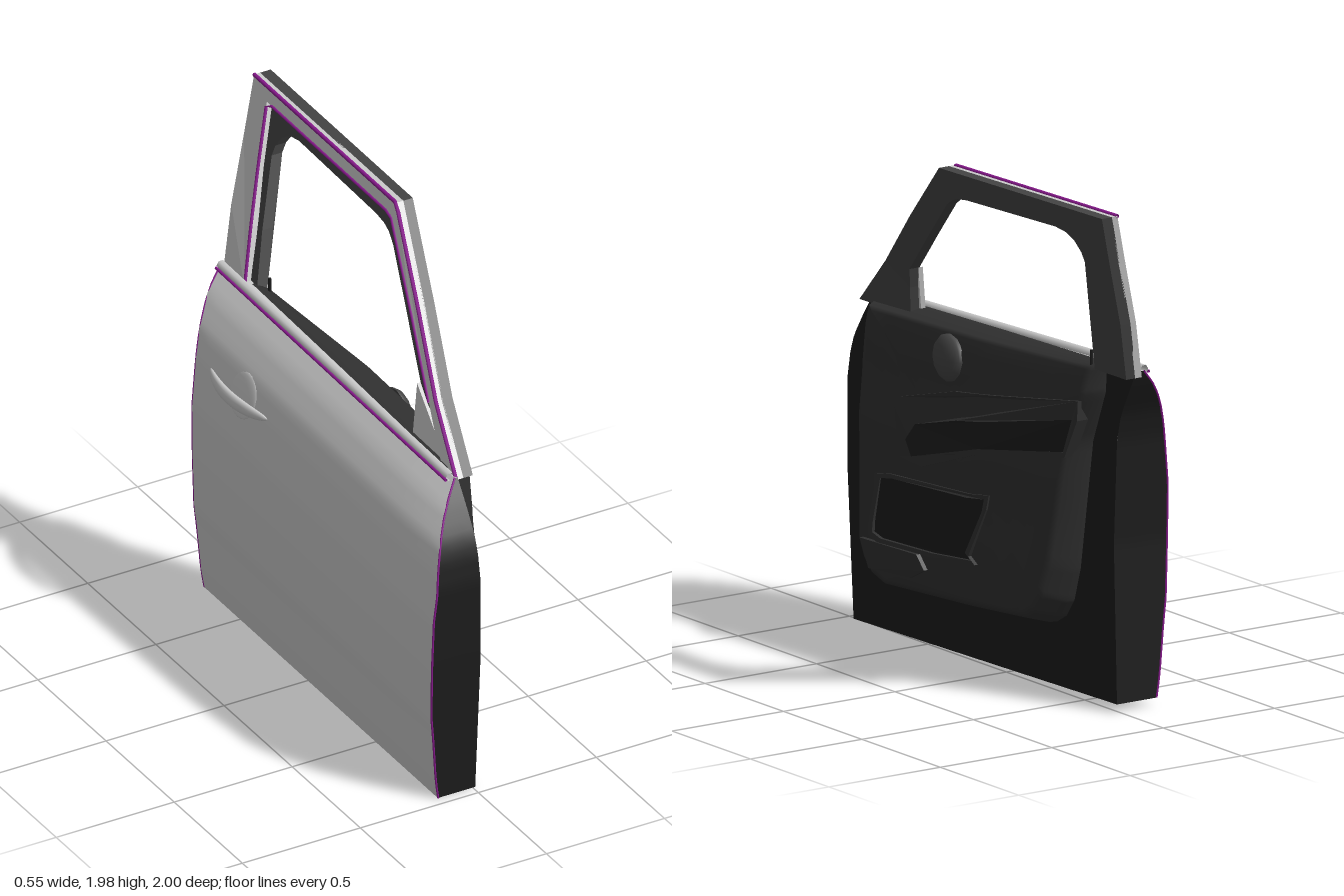
import * as THREE from 'three';

const material = (color) => new THREE.MeshStandardMaterial({ color, side: THREE.DoubleSide });

// Piecewise linear lookup in [[t, value], ...]
function lookup(table, t) {
  if (t <= table[0][0]) return table[0][1];
  for (let i = 1; i < table.length; i++) {
    const [a, va] = table[i - 1], [b, vb] = table[i];
    if (t <= b) return va + (vb - va) * (t - a) / (b - a);
  }
  return table[table.length - 1][1];
}

// Surface from a rule p(u, v) -> [x, y, z]
function surface(nu, nv, p) {
  const pos = [], idx = [];
  for (let j = 0; j <= nv; j++) for (let i = 0; i <= nu; i++) pos.push(...p(i / nu, j / nv));
  for (let j = 0; j < nv; j++) for (let i = 0; i < nu; i++) {
    const a = j * (nu + 1) + i, b = a + 1, c = a + nu + 1, d = c + 1;
    idx.push(a, b, d, a, d, c);
  }
  const g = new THREE.BufferGeometry();
  g.setAttribute('position', new THREE.Float32BufferAttribute(pos, 3));
  g.setIndex(idx);
  g.computeVertexNormals();
  return g;
}

// Plate outlined in (z, y), thick along x, then pushed along x by rule shift(y, z)
function plate(points, depth, shift, hole) {
  const flip = (list) => list.map(([z, y]) => new THREE.Vector2(-z, y));
  const shape = new THREE.Shape(flip(points));
  if (hole) shape.holes.push(new THREE.Path(flip(hole)));
  const g = new THREE.ExtrudeGeometry(shape, { depth, bevelEnabled: false });
  g.rotateY(Math.PI / 2);
  const p = g.attributes.position;
  for (let i = 0; i < p.count; i++) p.setX(i, p.getX(i) + shift(p.getY(i), p.getZ(i)));
  g.computeVertexNormals();
  return g;
}

const tube = (points, r) => {
  const path = new THREE.CurvePath();
  const v = points.map((p) => new THREE.Vector3(...p));
  for (let i = 1; i < v.length; i++) path.add(new THREE.LineCurve3(v[i - 1], v[i]));
  return new THREE.TubeGeometry(path, 48, r, 6);
};

// Lower door outline and outer curvature, by height
const FRONT = [[0, .96], [.3, .98], [.6, 1], [.92, 1], [1.03, .98], [1.1, .955], [1.2, .89], [1.28, .83]];
const REAR = [[0, -.72], [.3, -.71], [.6, -.7], [.8, -.71], [1, -.72], [1.1, -.745], [1.24, -.82], [1.28, -.835]];
const BULGE = [[0, -.16], [.08, -.175], [.3, -.2], [.36, -.21], [.6, -.222], [.8, -.218], [1, -.195],
  [1.1, -.165], [1.2, -.1], [1.26, -.04], [1.28, -.02]];
const INNER = .01;

function bodyPoint(u, v, t) { // t: 0 = outer skin, 1 = inner panel
  const h = v * 1.28;
  const z = THREE.MathUtils.lerp(lookup(FRONT, h), lookup(REAR, h), u);
  const y0 = .018 - z * .018, y1 = 1.288 - z * .032;
  const turn = Math.max(0, (z - .6) / .4) ** 2 * .025 * v;
  const outer = Math.min(INNER, lookup(BULGE, h) + .012 * z + turn);
  return [THREE.MathUtils.lerp(outer, INNER, t), y0 + (y1 - y0) * v, z];
}

// Trim thickness by height, thinner towards the rear
const TRIM = [[.2, .16], [.27, .175], [.4, .178], [.5, .172], [.7, .16], [.85, .155], [1, .14], [1.2, .13], [1.32, .1]];
const trimX = (y, z) => lookup(TRIM, y) - .05 * Math.max(0, -z) / .6;

// Window frame lean
const LEAN = [[1.22, -.025], [1.31, -.015], [1.5, .045], [1.72, .125], [1.97, .215]];
const frameX = (y, z) => lookup(LEAN, y) + .02 * (z + .5);

export function createModel() {
  const door = new THREE.Group();
  door.name = 'carDoor';
  const paint = material(0xcccccc), dark = material(0x1c1c1c), trim = material(0x303030);
  const lining = material(0x444444), seal = material(0x8a1a8f);
  const add = (name, geometry, mat) => {
    const m = new THREE.Mesh(geometry, mat);
    m.name = name;
    door.add(m);
    return m;
  };

  // Door shell
  add('outerSkin', surface(24, 48, (u, v) => bodyPoint(u, v, 0)), paint);
  add('innerPanel', surface(12, 32, (u, v) => bodyPoint(1 - u, v, 1)), dark);
  add('frontJamb', surface(3, 40, (u, v) => bodyPoint(0, v, 1 - u)), dark);
  add('rearJamb', surface(3, 40, (u, v) => bodyPoint(1, v, u)), dark);
  add('doorBottom', surface(12, 2, (u, v) => bodyPoint(u, 0, 1 - v)), dark);
  add('doorTop', surface(12, 2, (u, v) => bodyPoint(u, 1, v)), paint);

  // Belt moulding and edge seals
  add('beltMoulding', tube([[-.015, 1.265, .82], [-.035, 1.318, -.83]], .018), paint);
  add('beltSeal', tube([[-.033, 1.255, .82], [-.055, 1.308, -.83]], .006), seal);
  for (const [name, u] of [['frontEdgeSeal', 0], ['rearEdgeSeal', 1]]) {
    const pts = Array.from({ length: 25 }, (_, i) => bodyPoint(u, i / 24, .01));
    add(name, tube(pts, .004), seal);
  }

  // Window frame: painted outside, dark lining inside with rounded corners
  const frameOuter = [[.83, 1.25], [.6, 1.45], [.33, 1.69], [.02, 1.95], [-1, 1.97], [-.95, 1.77], [-.89, 1.52], [-.83, 1.29]];
  const skinOpening = [[-.68, 1.29], [-.74, 1.5], [-.81, 1.7], [-.88, 1.92], [.01, 1.9], [.31, 1.65], [.56, 1.43], [.73, 1.25]];
  const liningOpening = [[-.635, 1.29], [-.7, 1.5], [-.785, 1.75], [-.782, 1.79], [-.76, 1.83], [-.72, 1.856], [-.66, 1.865],
    [-.1, 1.846], [-.04, 1.838], [0, 1.825], [.05, 1.795], [.25, 1.625], [.45, 1.45], [.48, 1.37], [.515, 1.25]];
  add('frameSkin', plate([...frameOuter, ...skinOpening], .03, frameX), paint);
  const liningX = (y, z) => frameX(y, z) + .025;
  add('frameLining', plate([...frameOuter, ...liningOpening], .045, liningX), lining);
  const edge = frameOuter.slice(0, 5).map(([z, y]) => [frameX(y, z), y, z]);
  add('frameSeal', tube(edge, .008), seal);
  add('windowSeal', tube(skinOpening.slice(0, 7).map(([z, y]) => [frameX(y, z), y, z]), .006), seal);
  // Mirror mounting panel in the front corner
  add('mirrorPanel', plate([[.76, 1.255], [.5, 1.26], [.45, 1.45]], .02, (y, z) => frameX(y, z) + .01), paint);

  // Door trim: rings shrinking from the outline to a domed face
  const outline = [[.76, 1.27], [.775, 1.05], [.775, .85], [.755, .55], [.74, .36], [.71, .29], [.66, .24], [.58, .21],
    [.1, .24], [-.34, .265], [-.4, .3], [-.45, .37], [-.49, .5], [-.53, .75], [-.57, 1], [-.65, 1.2], [-.66, 1.312], [0, 1.295]];
  const RINGS = [[1, 0], [.995, .3], [.945, .92], [.9, 1], [.75, 1], [.6, 1], [.45, 1], [.3, 1], [.15, 1], [0, 1]];
  add('trimPanel', surface(outline.length * 6, RINGS.length - 1, (u, v) => {
    const s = u * outline.length, i = Math.floor(s) % outline.length, f = s - Math.floor(s);
    const a = outline[i], b = outline[(i + 1) % outline.length];
    const [k, lift] = RINGS[Math.round(v * (RINGS.length - 1))];
    const z = .08 + (a[0] + (b[0] - a[0]) * f - .08) * k;
    let y = .8 + (a[1] + (b[1] - a[1]) * f - .8) * k;
    if (y > .8) y = .8 + (y - .8) * (1 + (1 - k) * .5 * k); // keeps the top edge full
    return [lift * trimX(y, z), y, z];
  }), trim);

  // Armrest surround, armrest and map pocket
  const surround = [[.49, .93], [.46, .97], [.12, 1.06], [-.1, 1.09], [-.59, 1.165], [-.59, 1.09], [-.53, .94], [-.05, .86], [.3, .74], [.45, .75]];
  const grip = [[.38, .83], [.35, .89], [.1, .955], [-.05, .98], [-.56, 1.09], [-.52, .96], [-.05, .88], [.32, .78]];
  add('armrestSurround', plate(surround, .05, (y, z) => trimX(y, z) - .038, grip), trim);
  add('armrest', plate(grip, .06, (y, z) => trimX(y, z) - .05 + .3 * Math.max(0, .9 - y)), dark);
  const pocket = [[.585, .655], [.5, .67], [0, .7], [-.11, .715], [-.1, .66], [-.02, .47], [-.06, .445], [.2, .42], [.55, .405], [.61, .42], [.61, .47]];
  const opening = pocket.map(([z, y]) => [.26 + (z - .26) * .93, .55 + (y - .55) * .88]);
  add('pocketRim', plate(pocket, .04, (y, z) => trimX(y, z) - .033 + .04 * Math.max(0, .65 - y), opening), trim);
  add('pocketPanel', plate(opening, .03, (y, z) => trimX(y, z) - .027), dark);
  add('pocketLip', plate([[.66, .4], [.3, .41], [.25, .36], [.35, .31], [.62, .29]], .03,
    (y, z) => trimX(y, z) - .025 + .015 * Math.max(0, 1 - Math.abs(y - .38) * 9)), trim);

  // Speaker
  const speaker = add('speaker', new THREE.SphereGeometry(.093, 12, 8, 0, Math.PI * 2, 0, Math.PI / 2), lining);
  speaker.geometry.scale(1, .5, 1).rotateZ(-Math.PI / 2);
  speaker.position.set(.122, 1.17, .185);

  // Lock pin
  const pin = add('lockPin', new THREE.CylinderGeometry(.006, .006, .07, 8), dark);
  pin.position.set(.04, 1.32, -.6);

  // Outside handle with its finger bowl
  const bowl = add('handleBowl', new THREE.SphereGeometry(.09, 24, 12), paint);
  bowl.scale.set(.12, 1, 1);
  bowl.rotation.z = -.28;
  bowl.position.set(-.192, 1.035, -.39);
  const handle = add('handle', surface(16, 32, (u, v) => {
    const s = v * 2 - 1, w = Math.sqrt(Math.max(0, 1 - s * s)), a = u * Math.PI * 2;
    return [-.2 - .042 * (1 - s * s) + .017 * w * Math.cos(a), 1.03 + .03 * w * Math.sin(a), -.41 + .21 * s];
  }), paint);
  handle.geometry.computeVertexNormals();

  return door;
}
